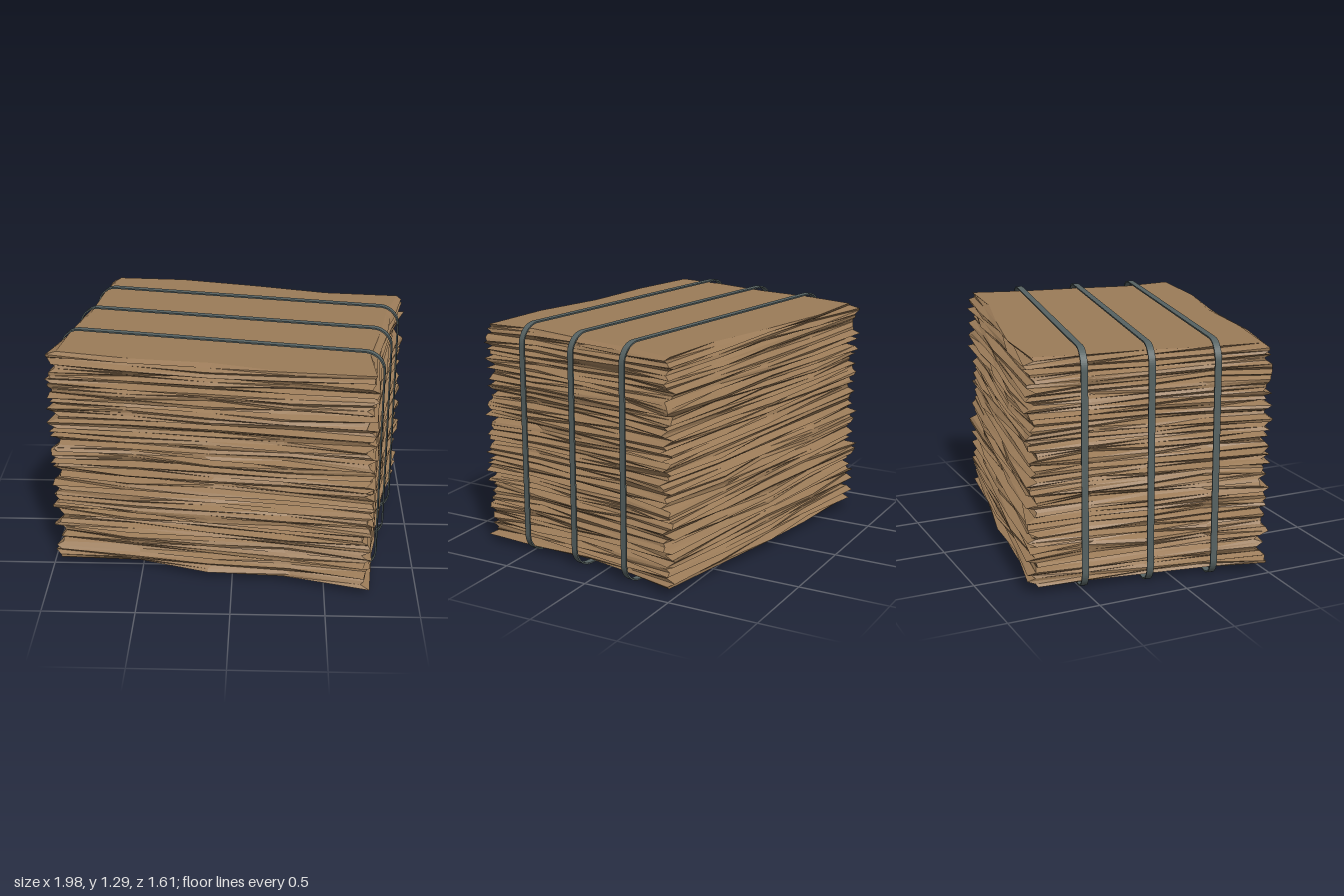
import * as THREE from 'three';
import { mergeVertices } from 'three/addons/utils/BufferGeometryUtils.js';

// Small seeded random generator
function seeded(seed) {
  return () => {
    seed = (seed + 0x6d2b79f5) | 0;
    let t = Math.imul(seed ^ (seed >>> 15), 1 | seed);
    t = (t + Math.imul(t ^ (t >>> 7), 61 | t)) ^ t;
    return ((t ^ (t >>> 14)) >>> 0) / 4294967296;
  };
}

// Rounded rectangle outline centred on the origin
function roundedRect(target, w, h, r) {
  const x = w / 2, y = h / 2;
  target.moveTo(x, -y + r);
  target.lineTo(x, y - r);
  target.absarc(x - r, y - r, r, 0, Math.PI / 2);
  target.lineTo(-x + r, y);
  target.absarc(-x + r, y - r, r, Math.PI / 2, Math.PI);
  target.lineTo(-x, -y + r);
  target.absarc(-x + r, -y + r, r, Math.PI, Math.PI * 1.5);
  target.lineTo(x - r, -y);
  target.absarc(x - r, -y + r, r, Math.PI * 1.5, Math.PI * 2);
  return target;
}

// Compressed stack: a segmented block whose layers are pushed in and out
function stackGeometry() {
  const halfX = 0.857, halfZ = 0.627, height = 1.22, jitter = 0.035;
  const box = new THREE.BoxGeometry(2 * halfX, height, 2 * halfZ, 4, 80, 4);
  box.deleteAttribute('normal');
  box.deleteAttribute('uv');
  const geo = mergeVertices(box);
  const pos = geo.attributes.position;
  const random = seeded(17);
  const offset = () => (random() * 2 - 1) * jitter;
  for (let i = 0; i < pos.count; i++) {
    const x = pos.getX(i), z = pos.getZ(i);
    // The ends are squeezed slightly under the straps
    const squeeze = Math.abs(z) < 0.5 ? 0.97 : 1;
    pos.setX(i, x * squeeze + offset());
    pos.setZ(i, z + offset());
  }
  const flat = geo.toNonIndexed();
  flat.computeVertexNormals();
  return flat;
}

export function createModel() {
  const cardboard = new THREE.MeshStandardMaterial({ color: 0x9b7b58 });
  cardboard.name = 'cardboard brown';
  const steel = new THREE.MeshStandardMaterial({ color: 0x566262 });
  steel.name = 'strap grey';

  const bale = new THREE.Group();
  bale.name = 'cardboardBale';
  bale.rotation.y = -0.176;
  bale.position.x = -0.012;

  const stack = new THREE.Mesh(stackGeometry(), cardboard);
  stack.name = 'cardboardStack';
  stack.position.y = 0.65;
  bale.add(stack);

  // Three flat straps looped around the bale
  const w = 1.768, h = 1.295, r = 0.11, t = 0.008, width = 0.036;
  const loop = roundedRect(new THREE.Shape(), w, h, r);
  loop.holes.push(roundedRect(new THREE.Path(), w - 2 * t, h - 2 * t, r - t));
  const strapGeo = new THREE.ExtrudeGeometry(loop, { depth: width, bevelEnabled: false, curveSegments: 8 });
  strapGeo.translate(0, h / 2, -width / 2);
  ['back', 'middle', 'front'].forEach((name, i) => {
    const strap = new THREE.Mesh(strapGeo, steel);
    strap.name = name + 'Strap';
    strap.position.z = (i - 1) * 0.35;
    bale.add(strap);
  });

  const model = new THREE.Group();
  model.name = 'strappedBale';
  model.add(bale);
  return model;
}
